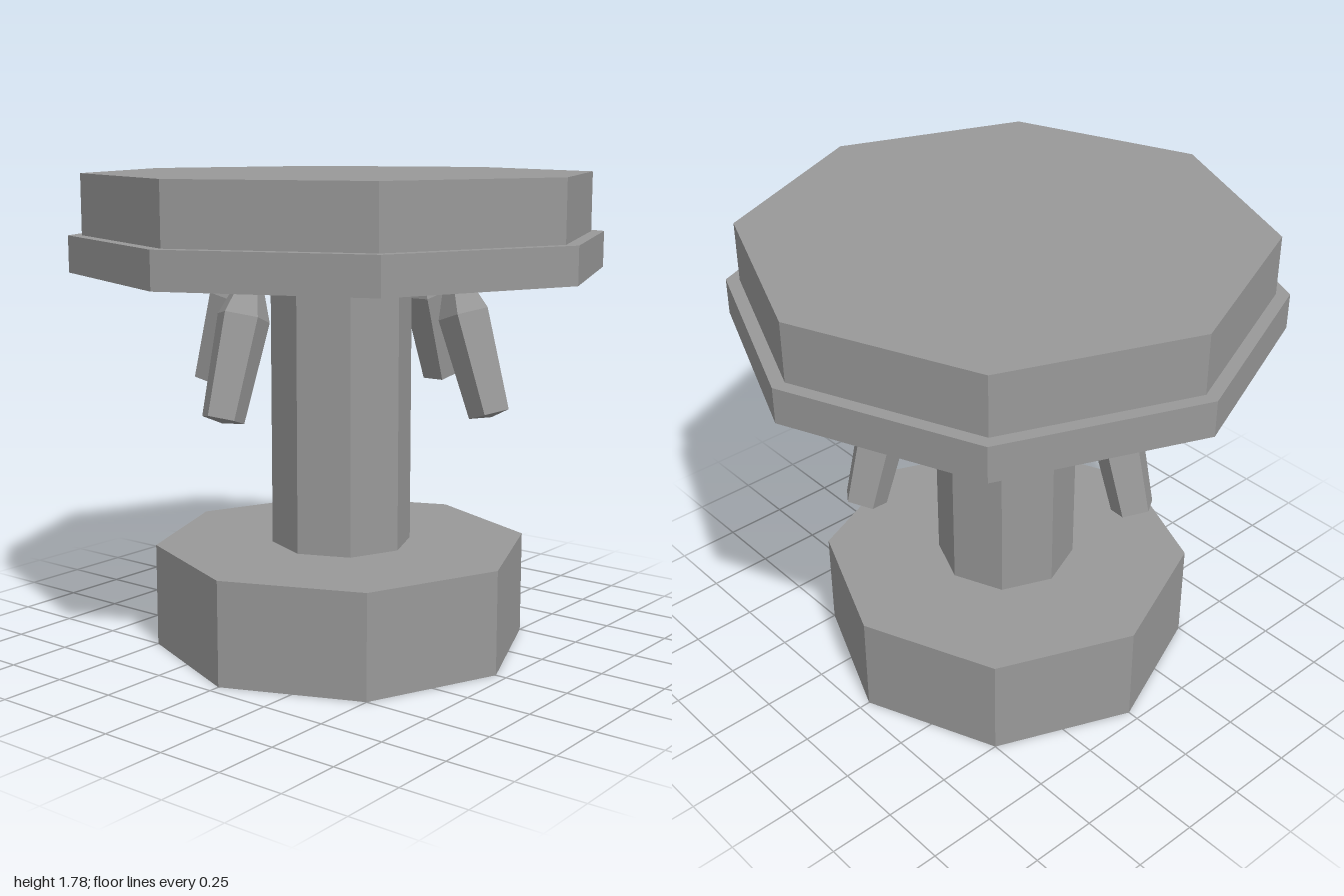
import * as THREE from 'three';

export function createModel() {
  const model = new THREE.Group();
  model.name = 'stoolTable';
  const grey = new THREE.MeshStandardMaterial({ color: 0x999999, flatShading: true });
  grey.name = 'grey';

  // Octagonal prism standing between two heights
  function prism(name, radius, bottom, top) {
    const mesh = new THREE.Mesh(new THREE.CylinderGeometry(radius, radius, top - bottom, 8), grey);
    mesh.name = name;
    mesh.position.y = (bottom + top) / 2;
    model.add(mesh);
  }
  prism('base', 0.707, 0, 0.39);
  prism('column', 0.265, 0.39, 1.425);
  prism('lowerSlab', 1, 1.425, 1.56);
  prism('upperSlab', 0.95, 1.56, 1.783);

  // Five-sided pegs under the slab, leaning outwards; origin at the shoulder
  const profile = [[0, -0.375], [0.078, -0.362], [0.097, 0], [0, 0.24]];
  const pegGeometry = new THREE.LatheGeometry(profile.map(([r, y]) => new THREE.Vector2(r, y)), 5);
  for (let i = 0; i < 4; i++) {
    const pivot = new THREE.Group();
    pivot.name = 'pegPivot' + (i + 1);
    pivot.rotation.y = (i * Math.PI) / 2;
    const peg = new THREE.Mesh(pegGeometry, grey);
    peg.name = 'peg' + (i + 1);
    peg.position.set(0, 1.3, 0.553);
    peg.rotation.x = -Math.PI / 10;
    pivot.add(peg);
    model.add(pivot);
  }
  return model;
}
